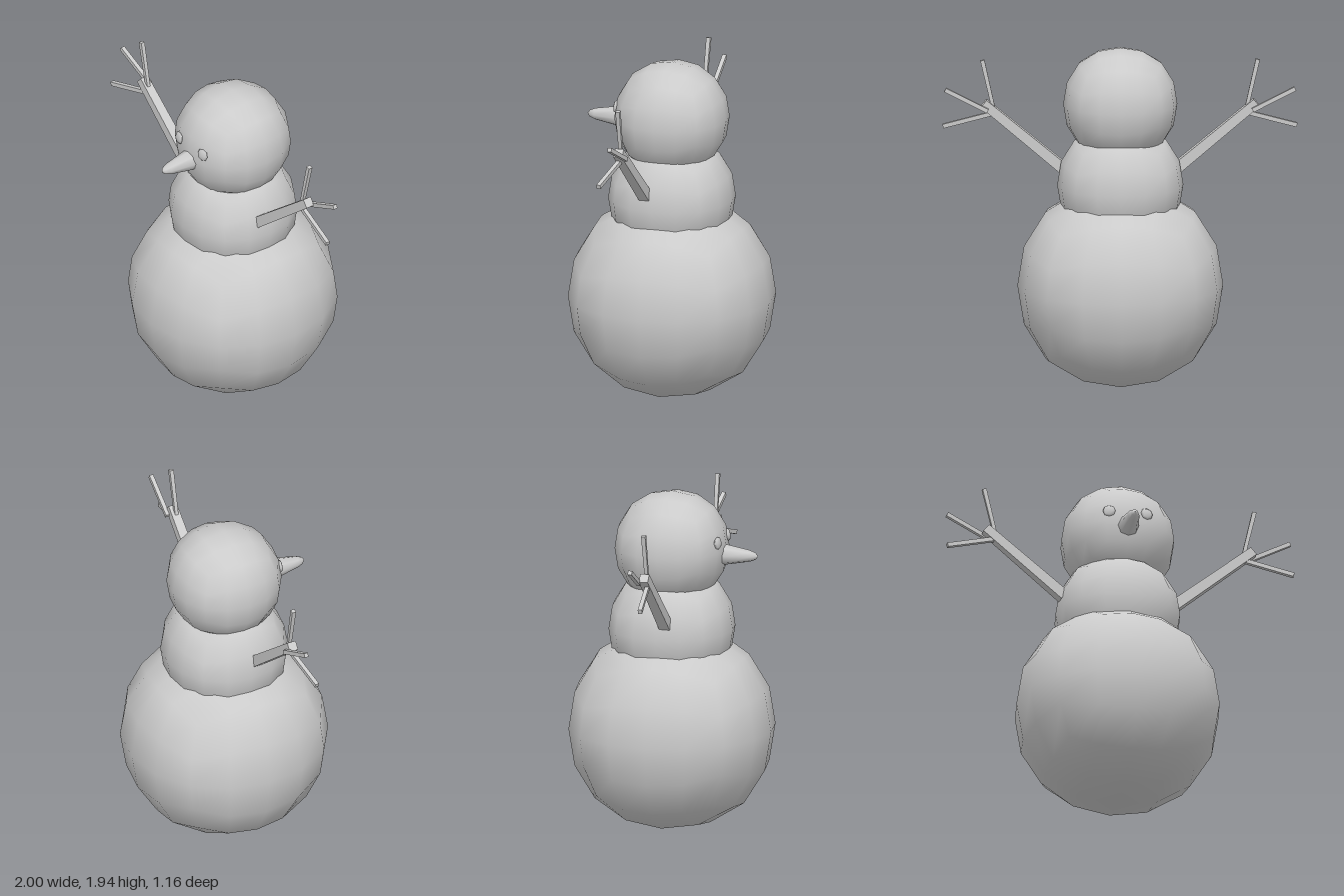
import * as THREE from 'three';
import { mergeVertices } from 'three/addons/utils/BufferGeometryUtils.js';

const smooth = new THREE.MeshStandardMaterial({ color: 0xcccccc });
const faceted = new THREE.MeshStandardMaterial({ color: 0xcccccc, flatShading: true });

// Ball made from a subdivided cube, bulging slightly towards the cube's edges
function ballGeometry(radius, divisions) {
  const box = new THREE.BoxGeometry(2, 2, 2, divisions, divisions, divisions);
  box.deleteAttribute('normal');
  box.deleteAttribute('uv');
  const geometry = mergeVertices(box);
  const pos = geometry.attributes.position;
  const p = new THREE.Vector3();
  for (let i = 0; i < pos.count; i++) {
    p.fromBufferAttribute(pos, i);
    p.set(...p.toArray().map(c => Math.tan(c * Math.PI / 4))).normalize();
    const bulge = 1 - (p.x ** 4 + p.y ** 4 + p.z ** 4);
    p.multiplyScalar(radius * (1 + 0.052 * bulge));
    pos.setXYZ(i, p.x, p.y, p.z);
  }
  geometry.computeVertexNormals();
  return geometry;
}

function ball(name, radius, y) {
  const mesh = new THREE.Mesh(ballGeometry(radius, 4), smooth);
  mesh.name = name;
  mesh.position.y = y;
  return mesh;
}

// Square stick from a to b, with its side widths at both ends
function stick(name, a, b, widthA, widthB) {
  const from = new THREE.Vector3(...a), to = new THREE.Vector3(...b);
  const geometry = new THREE.CylinderGeometry(
    widthB * Math.SQRT1_2, widthA * Math.SQRT1_2, from.distanceTo(to), 4);
  geometry.rotateY(Math.PI / 4).rotateX(Math.PI / 2);
  const mesh = new THREE.Mesh(geometry, faceted);
  mesh.name = name;
  mesh.up.set(0, 0, 1);
  mesh.position.copy(from).lerp(to, 0.5);
  mesh.lookAt(to);
  return mesh;
}

// Branch with three twigs
function arm(side) {
  const group = new THREE.Group();
  group.name = side > 0 ? 'leftArm' : 'rightArm';
  const at = (x, y, z) => [side * x, y, z];
  group.add(
    stick('branch', at(0.318, 1.245, 0.05), at(0.768, 1.621, 0.051), 0.062, 0.052),
    stick('upperTwig', at(0.712, 1.59, 0.054), at(0.775, 1.867, 0.051), 0.02, 0.024),
    stick('middleTwig', at(0.745, 1.582, 0.015), at(0.985, 1.702, 0.029), 0.024, 0.024),
    stick('lowerTwig', at(0.72, 1.56, 0.058), at(0.995, 1.482, 0.091), 0.024, 0.024));
  return group;
}

export function createModel() {
  const model = new THREE.Group();
  model.name = 'snowman';

  // Three stacked snowballs
  model.add(ball('lowerBody', 0.579, 0.585), ball('upperBody', 0.355, 1.16), ball('head', 0.321, 1.625));

  // Carrot nose
  const profile = [[0, 0], [0.05, 0.01], [0.062, 0.05], [0.058, 0.12], [0.033, 0.256], [0.02, 0.288], [0, 0.303]]
    .map(([r, h]) => new THREE.Vector2(r, h));
  const nose = new THREE.Mesh(new THREE.LatheGeometry(profile, 8), smooth);
  nose.name = 'nose';
  nose.rotation.x = Math.PI / 2;
  nose.position.set(0, 1.598, 0.2);
  model.add(nose);

  for (const side of [1, -1]) {
    // Flattened button eyes, turned slightly outwards
    const eye = new THREE.Mesh(ballGeometry(0.036, 2), smooth);
    eye.name = side > 0 ? 'leftEye' : 'rightEye';
    eye.scale.z = 0.4;
    eye.position.set(side * 0.108, 1.686, 0.297);
    eye.rotation.set(-0.12, side * 0.2, 0);
    model.add(eye, arm(side));
  }
  return model;
}
